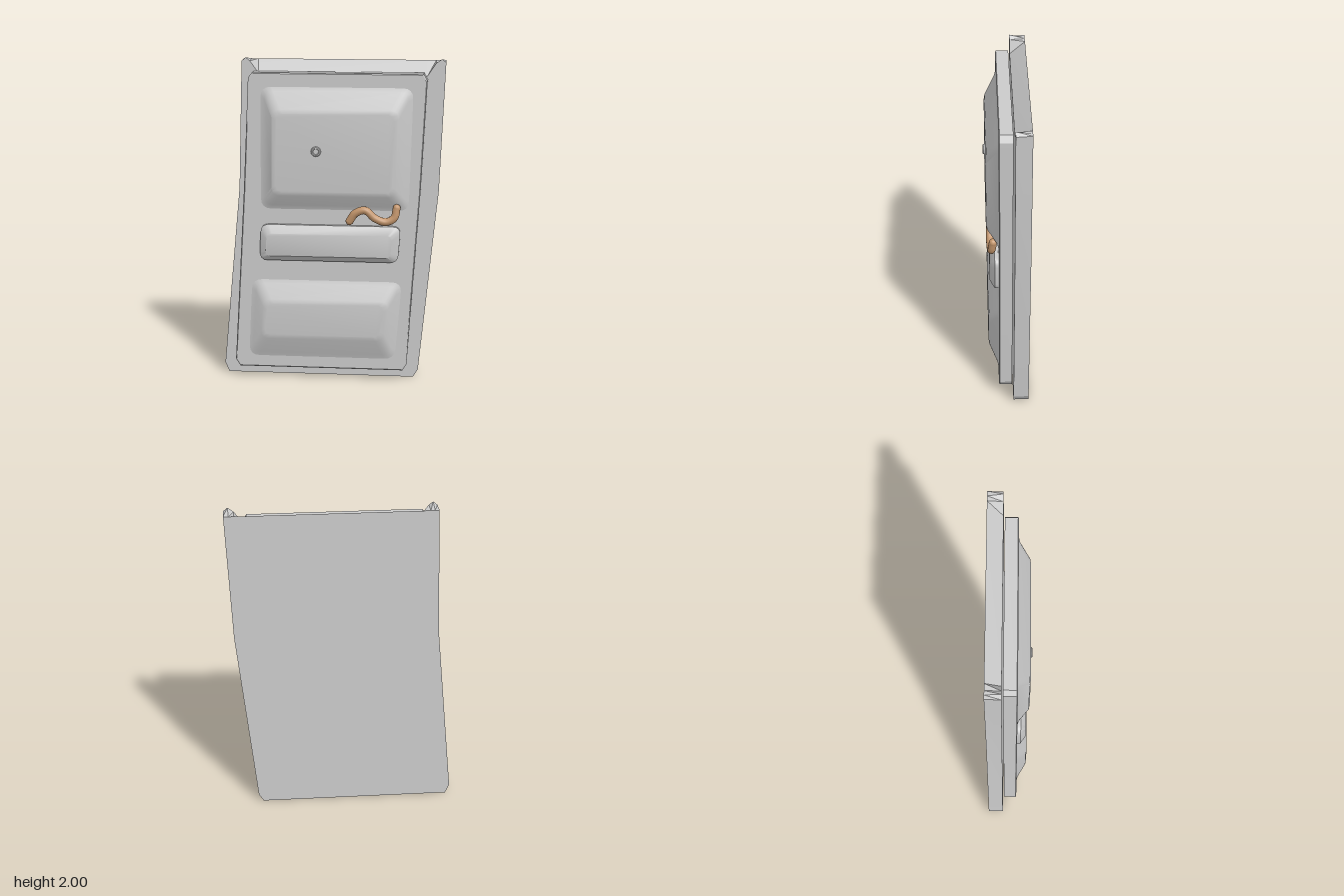
import * as THREE from 'three';
import { toCreasedNormals } from 'three/addons/utils/BufferGeometryUtils.js';

const grey = new THREE.MeshStandardMaterial({ color: 0xcccccc });
const tan = new THREE.MeshStandardMaterial({ color: 0xc4966c });

// Closed solid through rings of [x, y] points (counter-clockwise from the front), back to front.
function loft(rings, depths, crease = 0.5) {
  const n = rings[0].length;
  const pos = rings.flatMap((ring, i) => ring.flatMap(([x, y]) => [x, y, depths[i]]));
  const index = [];
  for (let r = 0; r < rings.length - 1; r++) {
    for (let i = 0; i < n; i++) {
      const a = r * n + i, b = r * n + (i + 1) % n;
      index.push(a, b, b + n, a, b + n, a + n);
    }
  }
  const cap = (ring) => THREE.ShapeUtils.triangulateShape(ring.map(([x, y]) => new THREE.Vector2(x, y)), []);
  const top = (rings.length - 1) * n;
  cap(rings[0]).forEach(([a, b, c]) => index.push(a, c, b));
  cap(rings[rings.length - 1]).forEach(([a, b, c]) => index.push(top + a, top + b, top + c));
  const geo = new THREE.BufferGeometry();
  geo.setAttribute('position', new THREE.Float32BufferAttribute(pos, 3));
  geo.setIndex(index);
  return toCreasedNormals(geo, crease);
}

// Rounds every corner of a polygon with a short curve.
function rounded(corners, radius, steps = 4) {
  const pts = corners.map(([x, y]) => new THREE.Vector2(x, y));
  return pts.flatMap((p, i) => {
    const toward = (q) => q.clone().sub(p).setLength(radius).add(p);
    const from = toward(pts[(i + pts.length - 1) % pts.length]);
    const to = toward(pts[(i + 1) % pts.length]);
    return new THREE.QuadraticBezierCurve(from, p, to).getPoints(steps).map((v) => [v.x, v.y]);
  });
}

// Pushes a four-cornered outline (bottom left first) outward.
const grow = (quad, d) => quad.map(([x, y], i) => [x + (i === 1 || i === 2 ? d : -d), y + (i > 1 ? d : -d)]);

export function createModel() {
  const door = new THREE.Group();
  door.name = 'door';
  const add = (name, geo, material = grey) => {
    const mesh = new THREE.Mesh(geo, material);
    mesh.name = name;
    door.add(mesh);
    return mesh;
  };

  // Outer slab: its top slopes down to the front between two small corner ears
  const sides = [[-0.575, 1.2], [-0.685, 0.06], [-0.66, 0], [0.51, 0], [0.54, 0.05], [0.65, 1.2]];
  const back = [...sides, [0.68, 1.985], [0.65, 1.985], [0.62, 1.985], [0.56, 1.985],
    [-0.46, 1.985], [-0.5, 1.985], [-0.525, 1.985], [-0.55, 1.985]];
  const front = [...sides, [0.68, 1.98], [0.655, 2], [0.62, 1.975], [0.57, 1.9],
    [-0.45, 1.91], [-0.5, 1.98], [-0.525, 2], [-0.55, 1.98]];
  add('outerSlab', loft([back, front], [-0.133, -0.04], 0.3));

  // Inner lining with cut corners and a fine front edge
  const lining = [[-0.575, 0.07], [0.445, 0.07], [0.47, 0.11], [0.54, 1.2], [0.572, 1.88],
    [0.55, 1.92], [-0.475, 1.92], [-0.5, 1.89], [-0.535, 1.2], [-0.602, 0.115]];
  const edge = lining.map(([x, y]) => [x + (x > 0 ? -0.006 : 0.006), y + (y > 1 ? -0.006 : 0.006)]);
  add('lining', loft([lining, lining, edge], [-0.032, 0.043, 0.048], 0.4));

  // Raised fields: soft foot, sloping flanks, eased rim and flat face
  const field = (name, base, face, z) => {
    const rings = [rounded(grow(base, 0.035), 0.07), rounded(base, 0.05),
      rounded(grow(face, 0.01), 0.05), rounded(grow(face, -0.015), 0.04)];
    add(name, loft(rings, [0.045, 0.056, z - 0.006, z], 0.6));
  };
  field('upperField',
    [[-0.405, 1.115], [0.445, 1.115], [0.465, 1.81], [-0.4, 1.81]],
    [[-0.345, 1.195], [0.385, 1.195], [0.4, 1.7], [-0.34, 1.7]], 0.12);
  field('lowerField',
    [[-0.49, 0.17], [0.37, 0.17], [0.41, 0.615], [-0.465, 0.615]],
    [[-0.425, 0.285], [0.315, 0.285], [0.35, 0.52], [-0.405, 0.52]], 0.11);

  // Armrest: steep sides with a chamfered face
  const arm = [[-0.44, 0.77], [0.41, 0.77], [0.425, 0.995], [-0.43, 0.995]];
  const armFace = [[-0.4, 0.805], [0.365, 0.805], [0.375, 0.945], [-0.39, 0.945]];
  add('armrest', loft([rounded(arm, 0.05), rounded(arm, 0.05), rounded(armFace, 0.03)],
    [0.045, 0.07, 0.1], 0.6));

  // Wavy pull handle with round ends
  const path = [[0.115, 1.03, 0.085], [0.15, 1.08, 0.092], [0.21, 1.1, 0.095], [0.27, 1.052, 0.095],
    [0.335, 1.03, 0.092], [0.385, 1.055, 0.088], [0.4, 1.115, 0.08]].map((p) => new THREE.Vector3(...p));
  add('handle', new THREE.TubeGeometry(new THREE.CatmullRomCurve3(path), 40, 0.024, 12), tan);
  for (const end of [path[0], path[path.length - 1]]) {
    add('handleEnd', new THREE.SphereGeometry(0.024, 12, 8), tan).position.copy(end);
  }

  // Lock button: turned ring with a sunken middle
  const profile = [[0.03, 0], [0.03, 0.009], [0.026, 0.013], [0.019, 0.013], [0.016, 0.007], [0, 0.007]];
  const lock = new THREE.LatheGeometry(profile.map((p) => new THREE.Vector2(...p)), 20);
  add('lockButton', toCreasedNormals(lock.rotateX(Math.PI / 2), 0.5)).position.set(-0.085, 1.46, 0.118);

  return door;
}
